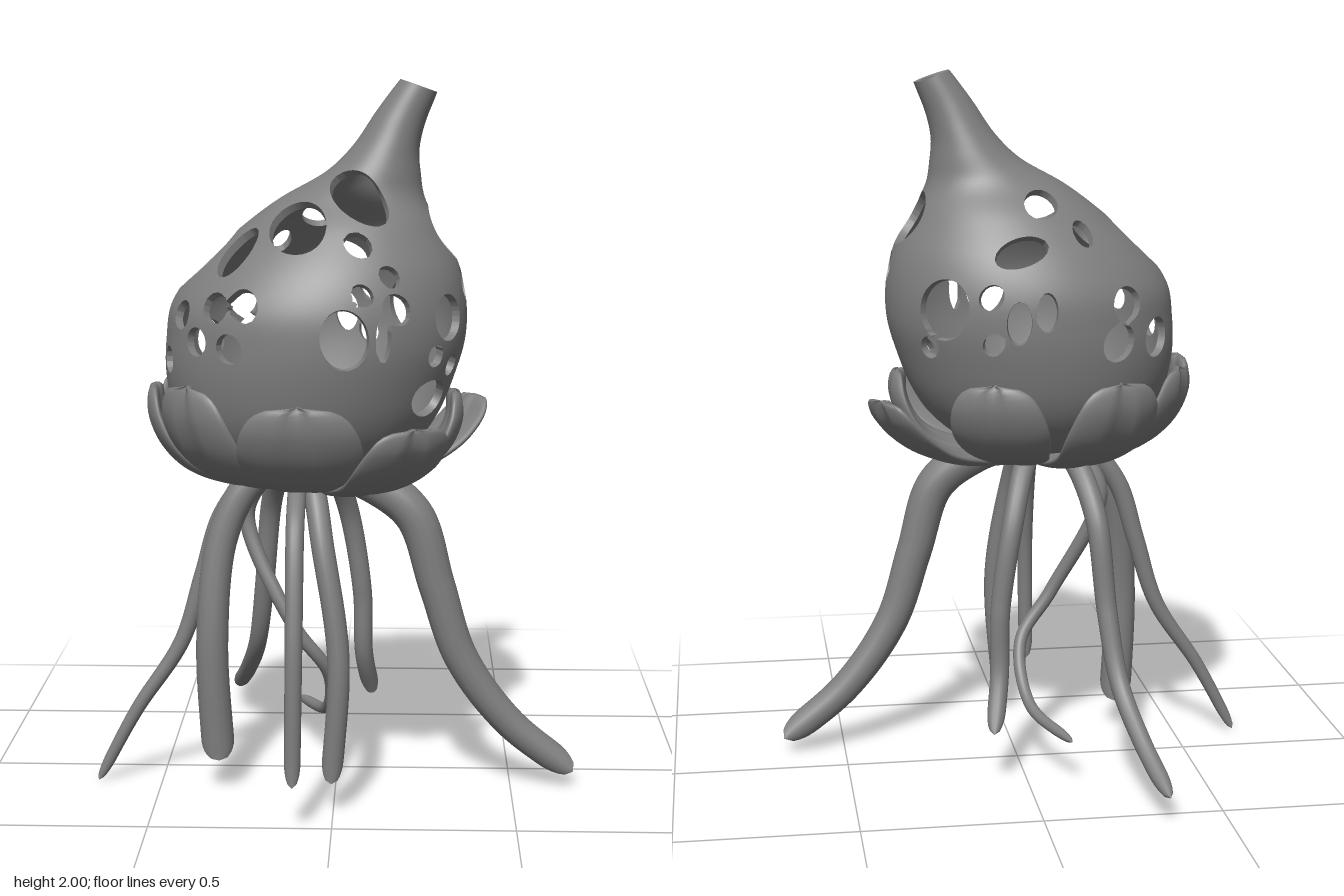
import * as THREE from 'three';
import { mergeVertices } from 'three/addons/utils/BufferGeometryUtils.js';
import { ParametricGeometry } from 'three/addons/geometries/ParametricGeometry.js';

const V = (x, y, z) => new THREE.Vector3(x, y, z);
const { degToRad, lerp, smoothstep } = THREE.MathUtils;
const CZ = 0.13;
const WALL = 0.022;

// bulb slices: height, centre x, half width
const bulbCurve = new THREE.CatmullRomCurve3([
  [0.9, -0.1, 0.005], [0.915, -0.1, 0.14], [0.95, -0.095, 0.24], [1.02, -0.085, 0.32], [1.1, -0.08, 0.37],
  [1.2, -0.07, 0.4], [1.3, -0.055, 0.413], [1.4, -0.045, 0.405], [1.5, -0.018, 0.357], [1.6, 0.013, 0.275],
  [1.68, 0.045, 0.2], [1.75, 0.1, 0.132], [1.82, 0.138, 0.09], [1.9, 0.176, 0.067], [1.985, 0.225, 0.05],
].map(s => V(...s)), false, 'catmullrom');

// slices are a little narrower in depth, and the spout lip tilts
function bulbPoint(a, v) {
  const { x: y, y: cx, z: r } = bulbCurve.getPoint(v);
  const off = r * Math.sin(a);
  const depth = r * (lerp(0.88, 1.1, smoothstep(y, 1.7, 1.85)) - 0.08 * Math.exp(-(((y - 1.69) / 0.05) ** 2)));
  return V(cx + off, y - off * 0.35 * smoothstep(y, 1.75, 2), CZ + depth * Math.cos(a));
}
function bulbFrame(a, v) {
  const e = 1e-3;
  const side = bulbPoint(a + e, v).sub(bulbPoint(a - e, v)).normalize();
  const up = bulbPoint(a, Math.min(1, v + e)).sub(bulbPoint(a, Math.max(0, v - e))).normalize();
  return { side, up, normal: side.clone().cross(up).normalize() };
}

// large openings: angle from the front in degrees, height, half width, half height
const WINDOWS = [
  [5, 1.69, 0.078, 0.072], [-27, 1.62, 0.085, 0.09], [-53, 1.55, 0.052, 0.085], [-90, 1.52, 0.1, 0.115],
  [92, 1.59, 0.092, 0.085], [-147, 1.56, 0.032, 0.045], [12, 1.335, 0.066, 0.08], [176, 1.52, 0.075, 0.045],
  [27, 1.335, 0.022, 0.065], [59, 1.155, 0.075, 0.055], [138, 1.36, 0.08, 0.085],
  [180, 1.36, 0.03, 0.055], [169, 1.33, 0.035, 0.06],
];
// small round openings: angle, height, radius
const ROUND_HOLES = [
  [87, 1.45, 0.047], [-159, 1.64, 0.053],
  [17, 1.45, 0.03], [32, 1.41, 0.042], [28, 1.495, 0.03], [12, 1.575, 0.038],
  [61, 1.375, 0.063], [54, 1.275, 0.031], [69, 1.24, 0.031],
  [128, 1.25, 0.033], [158, 1.27, 0.032], [159, 1.4, 0.036],
  [-145, 1.37, 0.05], [-151, 1.265, 0.053], [-128, 1.265, 0.056],
  [-29, 1.42, 0.045], [-42, 1.41, 0.042], [-49, 1.315, 0.039], [-32, 1.305, 0.04], [-72, 1.25, 0.037], [-62, 1.38, 0.04],
];
const HOLES = [...WINDOWS, ...ROUND_HOLES].map(([deg, y, w, h = w]) => {
  const a = degToRad(deg);
  let lo = 0, hi = 1;
  for (let i = 0; i < 30; i++) {
    const mid = (lo + hi) / 2;
    if (bulbCurve.getPoint(mid).x < y) lo = mid; else hi = mid;
  }
  return { c: bulbPoint(a, lo), w, h, ...bulbFrame(a, lo) };
});
// positive on the shell, negative inside a hole
function shellField(p) {
  let f = 1;
  for (const o of HOLES) {
    const d = p.clone().sub(o.c);
    if (d.length() < 0.25) f = Math.min(f, Math.hypot(d.dot(o.side) / o.w, d.dot(o.up) / o.h) - 1);
  }
  return f;
}

// hollow bulb: a grid clipped against the holes, with inner skin and hole rims
function bulb(material) {
  const NU = 200, NV = 96, outer = [], inner = [], rims = [], grid = [];
  for (let j = 0; j <= NV; j++) {
    grid.push([]);
    for (let i = 0; i <= NU; i++) {
      const a = (i % NU) / NU * Math.PI * 2, v = j / NV;
      const o = bulbPoint(a, v);
      grid[j].push({ o, n: o.clone().addScaledVector(bulbFrame(a, v).normal, -WALL), f: shellField(o) });
    }
  }
  const cut = (p, q) => {
    const t = p.f / (p.f - q.f);
    return { o: p.o.clone().lerp(q.o, t), n: p.n.clone().lerp(q.n, t) };
  };
  const rim = (p, q) => rims.push(q.o, p.o, p.n, q.o, p.n, q.n);
  const clip = (tri) => {
    const poly = [];
    let exit, entry;
    tri.forEach((p, k) => {
      const q = tri[(k + 1) % 3];
      if (p.f >= 0) poly.push(p);
      if ((p.f >= 0) === (q.f >= 0)) return;
      const m = cut(p, q);
      poly.push(m);
      if (p.f >= 0) exit = m; else entry = m;
    });
    for (let k = 1; k + 1 < poly.length; k++) {
      outer.push(poly[0].o, poly[k].o, poly[k + 1].o);
      inner.push(poly[0].n, poly[k + 1].n, poly[k].n);
    }
    if (exit) rim(exit, entry);
  };
  for (let j = 0; j < NV; j++) for (let i = 0; i < NU; i++) {
    const a = grid[j][i], b = grid[j][i + 1], c = grid[j + 1][i + 1], d = grid[j + 1][i];
    clip([a, b, c]);
    clip([a, c, d]);
  }
  for (let i = 0; i < NU; i++) rim(grid[NV][i + 1], grid[NV][i]); // spout lip
  const group = new THREE.Group();
  group.name = 'bulb';
  Object.entries({ bulbOuterSkin: outer, bulbInnerSkin: inner, holeRims: rims }).forEach(([name, points]) => {
    const g = mergeVertices(new THREE.BufferGeometry().setFromPoints(points), 1e-4);
    g.computeVertexNormals();
    const mesh = new THREE.Mesh(g, material);
    mesh.name = name;
    group.add(mesh);
  });
  return group;
}

// petals: angle in degrees, extra reach and extra height at the tip, half width
const PETALS = [
  [-2, 0, 0.005, 0.165], [37, 0.02, -0.06, 0.13], [90, -0.05, -0.01, 0.13], [117, 0.06, -0.06, 0.1], [157, -0.02, 0, 0.14],
  [-155, -0.02, 0, 0.14], [-120, -0.01, 0.01, 0.13], [-86, -0.03, 0.01, 0.13], [-48, -0.02, 0.035, 0.15],
];
const petalCurve = new THREE.SplineCurve(
  [[0.03, 0.905], [0.18, 0.915], [0.3, 0.95], [0.375, 1.01], [0.42, 1.09], [0.432, 1.165]].map(p => new THREE.Vector2(...p)));

// thick blunt leaf that wraps round the bulb, with a groove along its middle
function petal([deg, reach, lift, width], k) {
  return new ParametricGeometry((u, v, target) => {
    const phi = v * Math.PI * 2, t = Math.cos(phi);
    const p = petalCurve.getPoint(u), tan = petalCurve.getTangent(u);
    const end = Math.sqrt(Math.max(0, 1 - u ** 10));
    const w = 0.005 + width * lerp(0.5, 1, smoothstep(u, 0, 0.7)) * Math.sqrt(Math.max(0, 1 - u ** 7));
    const h = Math.sin(phi) * 0.022 * end + (k % 2) * 0.012 - 0.014 * u * Math.exp(-((t * 5) ** 2));
    const r = p.x + tan.y * h + reach * u * u;
    const a = degToRad(deg) + t * Math.min(w / Math.max(p.x, 0.05), 0.6);
    target.set(-0.07 + 1.05 * r * Math.sin(a), p.y - tan.x * h + lift * u * u, CZ + r * Math.cos(a));
  }, 28, 28);
}

// tentacles: start radius, end radius, then points from the shoulder to the tip
const TENTACLES = [
  [0.06, 0.04, [0.22, 0.8, 0.16], [0.285, 0.6, 0.16], [0.355, 0.39, 0.155], [0.49, 0.2, 0.145], [0.68, 0.045, 0.135]],
  [0.032, 0.016, [-0.32, 0.79, 0.13], [-0.375, 0.62, 0.13], [-0.44, 0.42, 0.13], [-0.57, 0.22, 0.135], [-0.685, 0.005, 0.135]],
  [0.034, 0.024, [-0.2, 0.76, -0.17], [-0.225, 0.5, -0.215], [-0.25, 0.31, -0.28], [-0.29, 0.18, -0.415], [-0.335, 0.08, -0.575]],
  [0.042, 0.048, [-0.315, 0.74, 0.18], [-0.345, 0.45, 0.21], [-0.33, 0.09, 0.2]],
  [0.026, 0.022, [-0.1, 0.81, 0.43], [-0.1, 0.55, 0.515], [-0.105, 0.13, 0.535]],
  [0.032, 0.03, [-0.03, 0.76, 0.345], [0.015, 0.45, 0.39], [-0.005, 0.09, 0.385]],
  [0.032, 0.026, [0.03, 0.75, -0.125], [0.07, 0.5, -0.147], [0.075, 0.31, -0.16], [0.1, 0.16, -0.235]],
  [0.024, 0.015, [-0.255, 0.78, 0.07], [-0.12, 0.47, 0.13], [-0.025, 0.33, 0.1], [-0.03, 0.18, -0.03], [-0.12, 0.135, -0.26]],
];

// tapered tube that leaves the underside of the bulb towards its shoulder, with a rounded tip
function tentacle([r0, r1, ...points]) {
  const [sx, , sz] = points[0];
  const root = (t, y) => V(lerp(-0.1, sx, t), y, lerp(CZ, sz, t));
  const curve = new THREE.CatmullRomCurve3([root(0.3, 0.935), root(0.65, 0.89), ...points.map(p => V(...p))]);
  const SEG = 72, SIDES = 14;
  const g = new THREE.TubeGeometry(curve, SEG, 1, SIDES);
  const pos = g.attributes.position, p = V(0, 0, 0);
  for (let i = 0; i <= SEG; i++) {
    const u = i / SEG, c = curve.getPointAt(u);
    const r = lerp(r0, r1, u) * Math.sqrt(1 - Math.max(0, (u - 0.92) / 0.08) ** 2 + 1e-6);
    for (let k = 0; k <= SIDES; k++) {
      const n = i * (SIDES + 1) + k;
      p.fromBufferAttribute(pos, n).sub(c).multiplyScalar(r).add(c);
      pos.setXYZ(n, p.x, p.y, p.z);
    }
  }
  return g;
}

export function createModel() {
  const material = new THREE.MeshStandardMaterial({ color: 0x7f7f7f });
  const model = new THREE.Group();
  model.name = 'tentacledPod';
  model.add(bulb(material));
  const addAll = (groupName, name, list, build) => {
    const group = new THREE.Group();
    group.name = groupName;
    list.forEach((item, k) => {
      const mesh = new THREE.Mesh(build(item, k), material);
      mesh.name = name + (k + 1);
      group.add(mesh);
    });
    model.add(group);
  };
  addAll('calyx', 'petal', PETALS, petal);
  addAll('tentacles', 'tentacle', TENTACLES, tentacle);
  return model;
}
